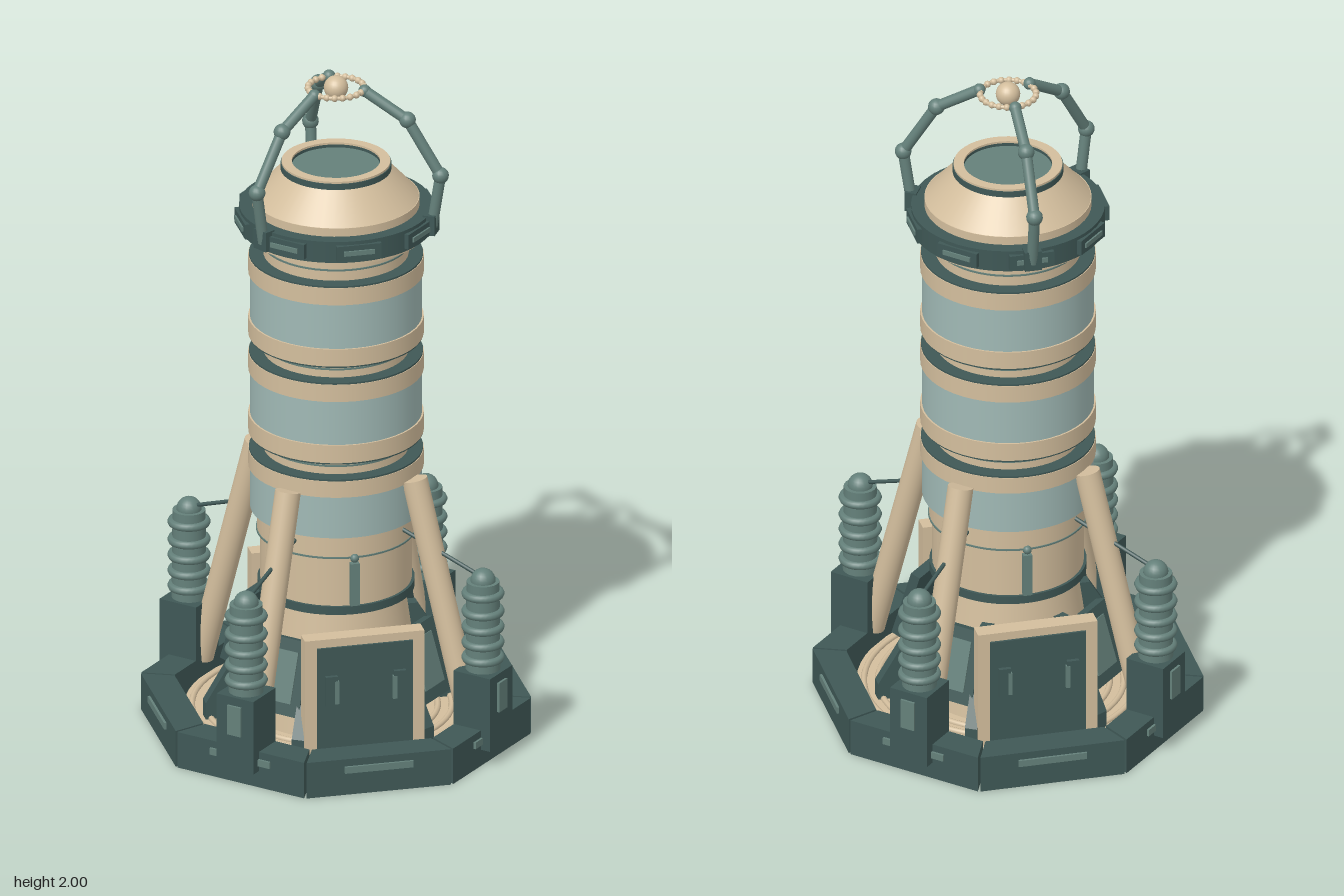
import * as THREE from 'three';

const mat = (name, color) => {
  const m = new THREE.MeshStandardMaterial({ color });
  m.name = name;
  return m;
};

export function createModel() {
  const model = new THREE.Group();
  model.name = 'energyTower';
  const dark = mat('darkTeal', 0x3f5856);
  const mid = mat('greyTeal', 0x64807a);
  const glass = mat('paleTeal', 0xa0b9b5);
  const cream = mat('cream', 0xd3be9d);

  const V = (x, y, z) => new THREE.Vector3(x, y, z);
  const add = (parent, name, geo, m, x = 0, y = 0, z = 0) => {
    const mesh = new THREE.Mesh(geo, m);
    mesh.name = name;
    mesh.position.set(x, y, z);
    parent.add(mesh);
    return mesh;
  };
  const box = (p, name, w, h, d, m, x, y, z) => add(p, name, new THREE.BoxGeometry(w, h, d), m, x, y, z);
  // Solid of revolution between two heights
  const drum = (p, name, y0, y1, r0, r1, m, seg = 48) =>
    add(p, name, new THREE.CylinderGeometry(r1, r0, y1 - y0, seg), m, 0, (y0 + y1) / 2, 0);
  // Hollow band with a rectangular section
  const band = (p, name, y0, y1, ri, ro, m, seg = 48) => {
    const corners = [[ri, y0], [ro, y0], [ro, y1], [ri, y1], [ri, y0]];
    for (let i = 0; i < 4; i++) {
      const pts = [corners[i], corners[i + 1]].map(c => new THREE.Vector2(...c));
      add(p, name, new THREE.LatheGeometry(pts, seg), m);
    }
  };
  const rod = (p, name, a, b, r, m, seg = 16) => {
    const mesh = add(p, name, new THREE.CylinderGeometry(r, r, a.distanceTo(b), seg), m);
    mesh.position.copy(a).lerp(b, 0.5);
    mesh.quaternion.setFromUnitVectors(V(0, 1, 0), b.clone().sub(a).normalize());
    return mesh;
  };
  // Repeat a part around the axis; each copy is built facing +z
  const around = (name, n, start, build) => {
    for (let i = 0; i < n; i++) {
      const g = new THREE.Group();
      g.name = name;
      g.rotation.y = start + (i * Math.PI * 2) / n;
      build(g, i);
      model.add(g);
    }
  };

  // Octagonal plinth of eight separate blocks
  const t = Math.tan(Math.PI / 8), gap = 0.004;
  const block = new THREE.Shape([[-0.43 * t + gap, -0.43], [-0.52 * t + gap, -0.52], [0.52 * t - gap, -0.52], [0.43 * t - gap, -0.43]]
    .map(c => new THREE.Vector2(...c)));
  const blockGeo = new THREE.ExtrudeGeometry(block, { depth: 0.11, bevelEnabled: false }).rotateX(-Math.PI / 2);
  around('plinthBlock', 8, 0, g => {
    add(g, 'plinthBody', blockGeo, dark);
    box(g, 'plinthPlate', 0.2, 0.02, 0.008, mid, 0, 0.078, 0.523);
  });
  drum(model, 'floorUnderside', 0.002, 0.03, 0.435, 0.435, dark, 64);
  drum(model, 'floor', 0.03, 0.05, 0.432, 0.432, cream, 64);
  for (const r of [0.29, 0.33, 0.37, 0.41]) {
    add(model, 'floorRidge', new THREE.TorusGeometry(r, 0.009, 8, 64).rotateX(Math.PI / 2), cream, 0, 0.052, 0);
  }

  // Flared foot of the tower
  drum(model, 'flaredFoot', 0.045, 0.43, 0.25, 0.195, cream);
  add(model, 'footHoop', new THREE.TorusGeometry(0.258, 0.012, 8, 48).rotateX(Math.PI / 2), dark, 0, 0.18, 0);
  drum(model, 'footCollar', 0.425, 0.45, 0.224, 0.224, dark);
  drum(model, 'lowerBarrel', 0.45, 0.6, 0.216, 0.216, cream);
  drum(model, 'barrelShoulder', 0.6, 0.67, 0.225, 0.225, cream);
  for (const y of [0.6, 0.668]) drum(model, 'shoulderSeam', y, y + 0.005, 0.228, 0.228, mid);

  // Core with windows and rings
  drum(model, 'core', 0.67, 1.55, 0.207, 0.207, cream);
  for (const [y0, y1] of [[0.672, 0.803], [0.962, 1.1], [1.255, 1.398]]) {
    drum(model, 'windowBand', y0, y1, 0.245, 0.245, glass);
  }
  for (const [y0, y1, neckAbove] of [[0.8, 0.85, 1], [0.907, 0.962, 0], [1.097, 1.15, 1], [1.207, 1.26, 0], [1.397, 1.45, 1]]) {
    drum(model, 'ring', y0, y1, 0.25, 0.25, cream);
    const y = neckAbove ? y1 : y0 - 0.005;
    drum(model, 'ringFacing', y, y + 0.005, 0.248, 0.248, dark);
  }
  for (const y of [0.878, 1.178, 1.485]) drum(model, 'neckSeam', y, y + 0.005, 0.21, 0.21, mid);

  // Top collar and cap
  drum(model, 'collarBase', 1.525, 1.56, 0.258, 0.258, cream);
  band(model, 'topCollar', 1.54, 1.605, 0.225, 0.276, dark);
  around('collarPlate', 8, 0, g => {
    box(g, 'collarPad', 0.13, 0.045, 0.02, dark, 0, 1.572, 0.272);
    box(g, 'collarTrim', 0.09, 0.014, 0.006, mid, 0, 1.572, 0.284);
  });
  drum(model, 'capSkirt', 1.56, 1.63, 0.238, 0.238, cream);
  drum(model, 'capCone', 1.63, 1.718, 0.236, 0.155, cream);
  band(model, 'capRim', 1.715, 1.733, 0.126, 0.158, dark);
  band(model, 'capLip', 1.733, 1.739, 0.126, 0.155, cream);
  drum(model, 'capLens', 1.715, 1.724, 0.127, 0.127, mid);

  // Three jointed arms holding a beaded halo
  const armPath = [[0.285, 1.57], [0.31, 1.73], [0.212, 1.89], [0.085, 1.965]].map(([r, y]) => V(0, y, r));
  around('haloArm', 3, Math.PI, g => {
    box(g, 'armFoot', 0.05, 0.06, 0.035, dark, 0, 1.58, 0.282);
    for (let i = 0; i < 3; i++) {
      rod(g, 'armSegment', armPath[i], armPath[i + 1], 0.016, mid);
      add(g, 'armJoint', new THREE.SphereGeometry(i < 2 ? 0.024 : 0.018, 16, 12), mid, ...armPath[i + 1].toArray());
    }
  });
  add(model, 'halo', new THREE.TorusGeometry(0.08, 0.006, 8, 48).rotateX(Math.PI / 2), cream, 0, 1.965, 0);
  around('haloBead', 22, 0, g => add(g, 'bead', new THREE.SphereGeometry(0.01, 10, 8), cream, 0, 1.965, 0.08));
  add(model, 'haloOrb', new THREE.SphereGeometry(0.035, 24, 16), cream, 0, 1.965, 0);

  // Tapering fins around the foot
  const fin = new THREE.Shape([[0.18, 0.05], [0.385, 0.05], [0.385, 0.1], [0.235, 0.35], [0.18, 0.35]]
    .map(c => new THREE.Vector2(...c)));
  const finGeo = new THREE.ExtrudeGeometry(fin, { depth: 0.036, bevelEnabled: false }).translate(0, 0, -0.018).rotateY(-Math.PI / 2);
  around('footFin', 6, Math.PI / 2, g => add(g, 'fin', finGeo, dark));

  // Doors front and back
  around('door', 2, 0, g => {
    box(g, 'doorFrame', 0.35, 0.37, 0.05, cream, 0, 0.225, 0.323);
    box(g, 'doorPanel', 0.28, 0.33, 0.012, dark, 0, 0.22, 0.349);
    for (const s of [-1, 1]) {
      box(g, 'doorHinge', 0.035, 0.09, 0.014, dark, s * 0.1, 0.255, 0.36);
      box(g, 'doorHandle', 0.012, 0.07, 0.012, mid, s * 0.085, 0.25, 0.362);
    }
    box(g, 'barrelBar', 0.026, 0.13, 0.025, mid, 0, 0.52, 0.222);
    add(g, 'barrelKnob', new THREE.SphereGeometry(0.013, 12, 8), mid, 0, 0.6, 0.226);
  });

  // Corner pylons: pedestal, insulator, strut, cable and sloping shield
  around('pylon', 4, Math.PI / 4, g => {
    const r = 0.49;
    box(g, 'pedestal', 0.122, 0.225, 0.122, dark, 0, 0.163, r);
    box(g, 'pedestalPlate', 0.045, 0.09, 0.008, mid, 0, 0.205, r + 0.064);
    add(g, 'insulatorCore', new THREE.CylinderGeometry(0.047, 0.05, 0.27, 24), mid, 0, 0.41, r);
    for (const y of [0.31, 0.357, 0.405, 0.453, 0.508]) {
      add(g, 'insulatorDisc', new THREE.TorusGeometry(0.05, 0.012, 8, 28).rotateX(Math.PI / 2), mid, 0, y, r);
    }
    add(g, 'insulatorCap', new THREE.SphereGeometry(0.036, 20, 14), mid, 0, 0.547, r);
    rod(g, 'strut', V(0, 0.1, 0.45), V(0, 0.81, 0.262), 0.037, cream, 24);
    rod(g, 'cable', V(0, 0.555, r), V(0, 0.645, 0.22), 0.006, dark, 8);
    const shield = box(g, 'shield', 0.16, 0.22, 0.03, dark, 0, 0.25, 0.292);
    shield.rotation.x = -0.3;
    const inset = box(g, 'shieldInset', 0.1, 0.15, 0.008, mid, 0, 0.255, 0.306);
    inset.rotation.x = -0.3;
  });

  return model;
}
